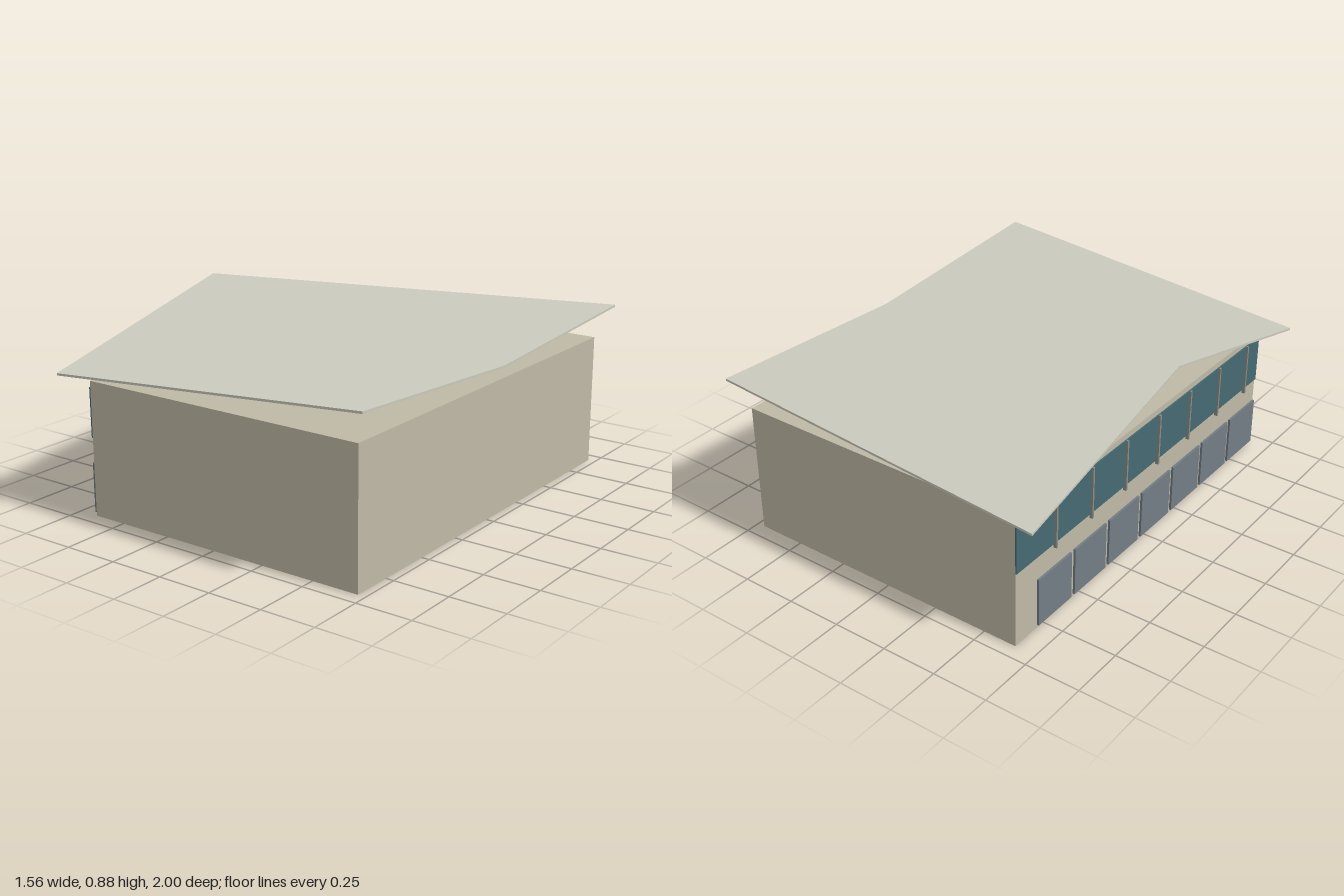
import * as THREE from 'three';

const paint = (color) => new THREE.MeshStandardMaterial({ color });
const wallPaint = paint(0xbfb9a5);
const roofPaint = paint(0xcbcabd);
const glassPaint = paint(0x456a72);
const panelPaint = paint(0x727d84);
const mullionPaint = paint(0x8c8c84);

// Box given by its lower and upper corners
function box(name, material, min, max) {
  const size = max.map((v, i) => v - min[i]);
  const mesh = new THREE.Mesh(new THREE.BoxGeometry(...size), material);
  mesh.position.set(...max.map((v, i) => (v + min[i]) / 2));
  mesh.name = name;
  return mesh;
}

// Folded sheet roof: a high point in the middle of one side, a valley in the other
function roofGeometry() {
  const X = 0.78, thickness = 0.01;
  const v = (x, y, z) => new THREE.Vector3(x, y, z);
  const frontLow = v(-X, 0.627, 1), frontHigh = v(X, 0.75, 1);
  const valley = v(X, 0.69, 0), peak = v(-X, 0.875, 0);
  const backHigh = v(X, 0.75, -1), backLow = v(-X, 0.627, -1);
  const down = (p) => v(p.x, p.y - thickness, p.z);
  const positions = [], normals = [];

  // Warped quad split along b-d, with one mean normal for the whole panel
  function quad(a, b, c, d) {
    const n = c.clone().sub(a).cross(d.clone().sub(b)).normalize();
    for (const p of [a, b, d, b, c, d]) {
      positions.push(p.x, p.y, p.z);
      normals.push(n.x, n.y, n.z);
    }
  }
  // Top panels and matching undersides; each keeps its fold diagonal
  quad(frontHigh, valley, peak, frontLow);
  quad(valley, backHigh, backLow, peak);
  quad(...[peak, valley, frontHigh, frontLow].map(down));
  quad(...[backLow, backHigh, valley, peak].map(down));
  // Thin edge all round
  const rim = [frontLow, frontHigh, valley, backHigh, backLow, peak];
  rim.forEach((a, i) => {
    const b = rim[(i + 1) % rim.length];
    quad(down(a), down(b), b, a);
  });

  const geometry = new THREE.BufferGeometry();
  geometry.setAttribute('position', new THREE.Float32BufferAttribute(positions, 3));
  geometry.setAttribute('normal', new THREE.Float32BufferAttribute(normals, 3));
  return geometry;
}

export function createModel() {
  const model = new THREE.Group();
  model.name = 'pavilion';

  // Plain hall
  const wallX = -0.655, halfZ = 0.935;
  model.add(box('hall', wallPaint, [wallX, 0, -halfZ], [0.715, 0.6, halfZ]));

  // Long upper window
  model.add(box('upperGlazing', glassPaint, [wallX - 0.006, 0.35, -halfZ], [wallX, 0.572, halfZ]));

  // Seven bays: a mullion on the glazing above, a dark panel below
  const bays = new THREE.Group();
  bays.name = 'facadeBays';
  for (let i = 0; i < 7; i++) {
    const z = -0.68 + i * 0.25;
    bays.add(box('mullion', mullionPaint, [wallX - 0.015, 0.33, z - 0.005], [wallX, 0.572, z + 0.005]));
    bays.add(box('lowerWindow', panelPaint, [wallX - 0.01, 0.015, z - 0.113], [wallX, 0.238, z + 0.113]));
  }
  model.add(bays);

  // Floating roof
  const roof = new THREE.Mesh(roofGeometry(), roofPaint);
  roof.name = 'roof';
  model.add(roof);
  return model;
}
